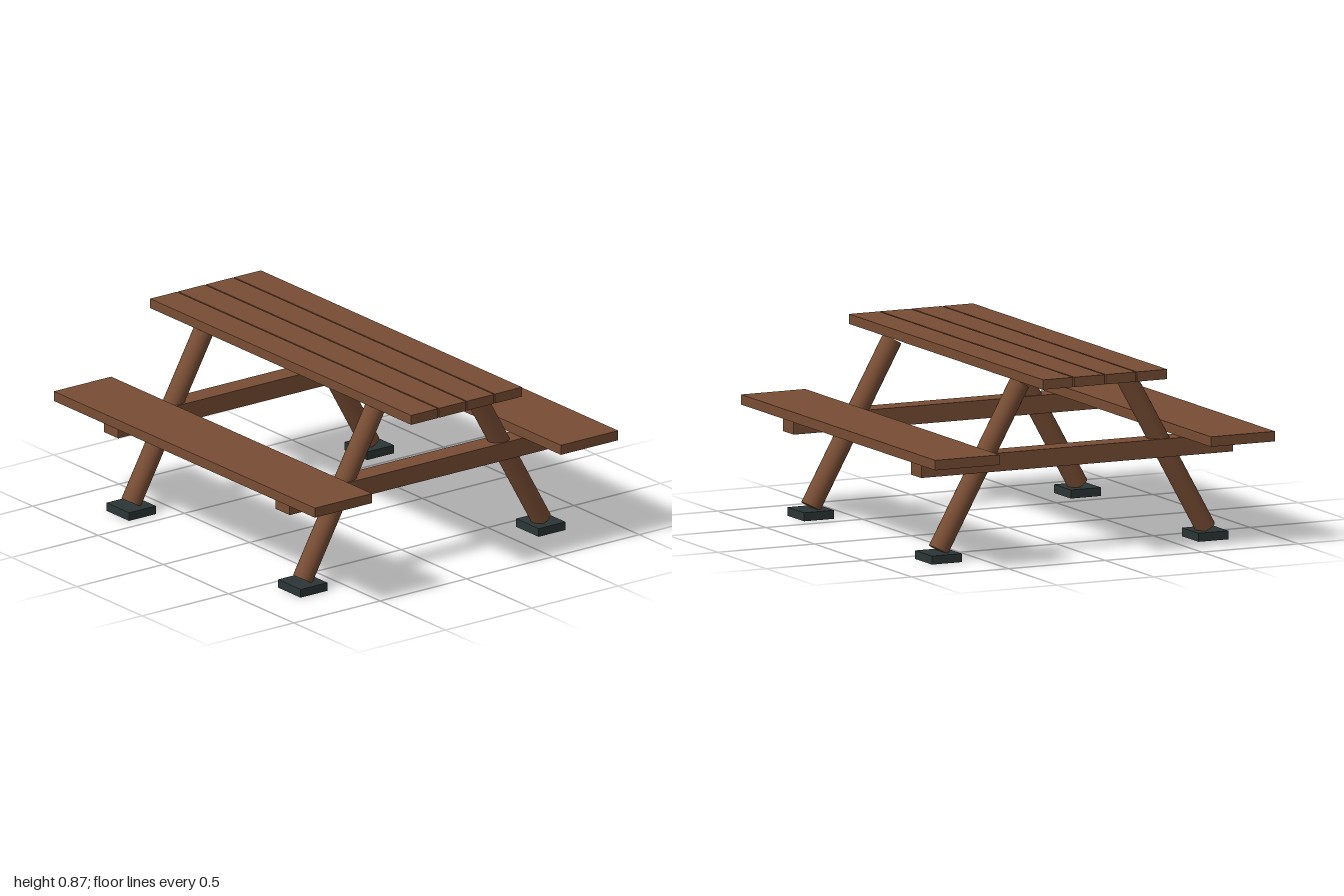
import * as THREE from 'three';

const wood = new THREE.MeshStandardMaterial({ color: 0x784d34 });
wood.name = 'brown wood';
const rubber = new THREE.MeshStandardMaterial({ color: 0x2c3636 });
rubber.name = 'dark foot';

export function createModel() {
  const group = new THREE.Group();
  group.name = 'picnicTable';

  // Box given by its centre x, bottom y, centre z and size
  function box(name, material, x, y, z, w, h, d) {
    const mesh = new THREE.Mesh(new THREE.BoxGeometry(w, h, d), material);
    mesh.name = name;
    mesh.position.set(x, y + h / 2, z);
    group.add(mesh);
  }

  // Table top: four planks with narrow gaps
  for (let i = 0; i < 4; i++) {
    box('tablePlank', wood, (i - 1.5) * 0.162, 0.825, 0, 0.155, 0.046, 2);
  }

  // Bench seats
  for (const side of [-1, 1]) {
    box('benchSeat', wood, side * 0.712, 0.49, 0, 0.332, 0.047, 2);
  }

  for (const end of [-1, 1]) {
    const z = end * 0.657;
    // Cross beam carrying both seats
    box('crossBeam', wood, 0, 0.404, z, 1.61, 0.086, 0.108);

    for (const side of [-1, 1]) {
      // Splayed round leg from foot to table top
      const bottom = new THREE.Vector3(side * 0.69, 0.05, z);
      const top = new THREE.Vector3(side * 0.27, 0.802, z);
      const dir = top.clone().sub(bottom);
      const leg = new THREE.Mesh(new THREE.CylinderGeometry(0.048, 0.048, dir.length(), 24), wood);
      leg.name = 'leg';
      leg.position.copy(bottom).add(top).multiplyScalar(0.5);
      leg.quaternion.setFromUnitVectors(new THREE.Vector3(0, 1, 0), dir.normalize());
      group.add(leg);

      // Flat foot pad
      box('footPad', rubber, side * 0.689, 0, z, 0.155, 0.04, 0.172);
    }
  }
  return group;
}
